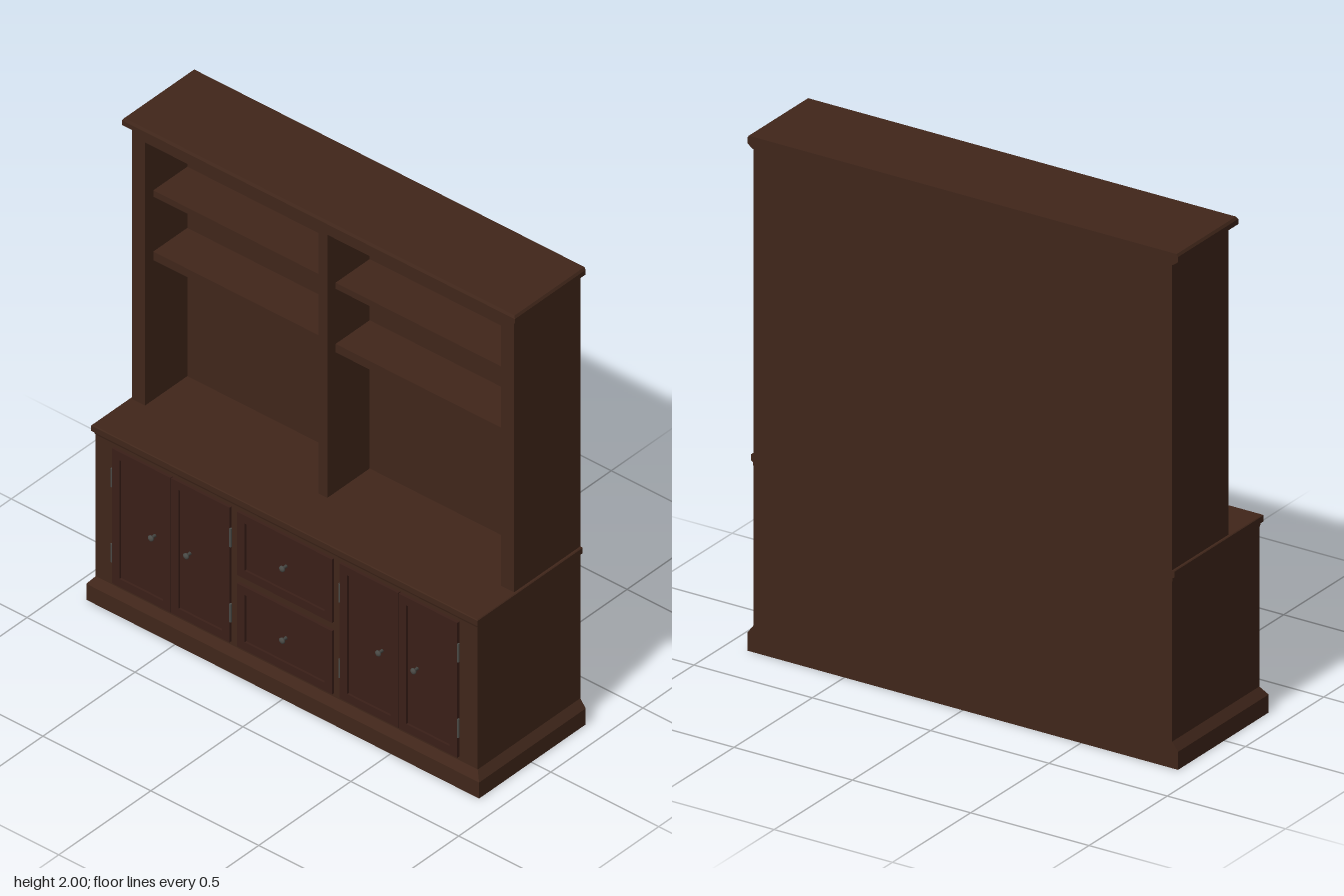
import * as THREE from 'three';

const BACK = -0.295;
const wood = new THREE.MeshStandardMaterial({ color: 0x40261a });
const doorWood = new THREE.MeshStandardMaterial({ color: 0x3a1f18 });
const metal = new THREE.MeshStandardMaterial({ color: 0x4a4a46 });

export function createModel() {
  const model = new THREE.Group();
  model.name = 'dresser';

  const add = (name, geometry, material = wood) => {
    const mesh = new THREE.Mesh(geometry, material);
    mesh.name = name;
    model.add(mesh);
    return mesh;
  };

  // Box given by its limits on each axis
  const box = (name, x0, x1, y0, y1, z0, z1, material) => {
    const mesh = add(name, new THREE.BoxGeometry(x1 - x0, y1 - y0, z1 - z0), material);
    mesh.position.set((x0 + x1) / 2, (y0 + y1) / 2, (z0 + z1) / 2);
    return mesh;
  };

  // Stack of rectangles [y, halfWidth, frontZ] sharing a flat back
  const moulding = (name, layers) => {
    const positions = [];
    const index = [];
    for (const [y, w, front] of layers) {
      positions.push(-w, y, BACK, -w, y, front, w, y, front, w, y, BACK);
    }
    for (let i = 0; i < layers.length - 1; i++) {
      for (let j = 0; j < 4; j++) {
        const a = i * 4 + j, b = i * 4 + (j + 1) % 4;
        index.push(a, b, b + 4, a, b + 4, a + 4);
      }
    }
    const t = (layers.length - 1) * 4;
    index.push(0, 2, 1, 0, 3, 2, t, t + 1, t + 2, t, t + 2, t + 3);
    const indexed = new THREE.BufferGeometry();
    indexed.setAttribute('position', new THREE.Float32BufferAttribute(positions, 3));
    indexed.setIndex(index);
    const geometry = indexed.toNonIndexed();
    geometry.computeVertexNormals();
    return add(name, geometry);
  };

  // Lower cabinet with plinth and worktop
  moulding('plinth', [[0, 0.91, 0.284], [0.07, 0.91, 0.284], [0.103, 0.885, 0.262]]);
  box('lowerBody', -0.885, 0.885, 0.1, 0.73, BACK, 0.262);
  moulding('worktop', [
    [0.725, 0.887, 0.264], [0.738, 0.887, 0.268], [0.742, 0.895, 0.275],
    [0.765, 0.895, 0.275], [0.768, 0.892, 0.272],
  ]);

  // Upper case: sides, divider, back and top rail
  for (const s of [-1, 1]) {
    const x = s * 0.855;
    box(s > 0 ? 'leftSide' : 'rightSide', x - 0.03, x + 0.03, 0.768, 1.96, BACK, 0.065);
  }
  box('backPanel', -0.825, 0.825, 0.768, 1.92, BACK, -0.165);
  box('divider', -0.02, 0.02, 0.768, 1.92, -0.165, 0.065);
  box('topRail', -0.825, 0.825, 1.92, 1.96, BACK, 0.065);
  moulding('cornice', [
    [1.953, 0.887, 0.067], [1.962, 0.9, 0.08], [1.97, 0.91, 0.09],
    [1.99, 0.91, 0.09], [2.0, 0.904, 0.084],
  ]);

  // Shelves in both bays
  for (const [y0, y1] of [[1.38, 1.417], [1.658, 1.685]]) {
    box('shelf', -0.825, -0.02, y0, y1, -0.165, 0.02);
    box('shelf', 0.02, 0.825, y0, y1, -0.165, 0.02);
  }

  // Framed front with a recessed, bevel-edged panel
  const framedFront = (name, x0, x1, y0, y1, rim) => {
    const w = x1 - x0, h = y1 - y0;
    const rect = (target, d) => target
      .moveTo(d, d).lineTo(w - d, d).lineTo(w - d, h - d).lineTo(d, h - d).closePath();
    const shape = rect(new THREE.Shape(), 0);
    shape.holes.push(rect(new THREE.Path(), rim));
    const frame = add(name, new THREE.ExtrudeGeometry(shape, { depth: 0.016, bevelEnabled: false }), doorWood);
    frame.position.set(x0, y0, 0.258);
    box(name + 'Panel', x0 + rim, x1 - rim, y0 + rim, y1 - rim, 0.255, 0.265, doorWood);
  };

  // Turned knob pointing forward
  const knobProfile = [[0, 0], [0.007, 0], [0.005, 0.014], [0.012, 0.022], [0.012, 0.027], [0.007, 0.031], [0, 0.032]]
    .map(([r, y]) => new THREE.Vector2(r, y));
  const knob = (x, y) => {
    const mesh = add('knob', new THREE.LatheGeometry(knobProfile, 16), metal);
    mesh.rotation.x = Math.PI / 2;
    mesh.position.set(x, y, 0.263);
  };

  // Two pairs of doors with knobs and hinges
  for (const s of [-1, 1]) {
    for (const [a, b] of [[0.255, 0.526], [0.529, 0.8]]) {
      framedFront('door', Math.min(s * a, s * b), Math.max(s * a, s * b), 0.12, 0.71, 0.035);
    }
    for (const x of [0.445, 0.608]) knob(s * x, 0.415);
    for (const x of [0.253, 0.802]) {
      for (const y of [0.25, 0.58]) {
        const hinge = add('hinge', new THREE.CylinderGeometry(0.005, 0.005, 0.08, 10), metal);
        hinge.position.set(s * x, y, 0.271);
      }
    }
  }

  // Two central drawers
  for (const [y0, y1, knobY] of [[0.12, 0.397, 0.258], [0.433, 0.71, 0.572]]) {
    framedFront('drawer', -0.22, 0.22, y0, y1, 0.035);
    knob(0, knobY);
  }

  return model;
}
